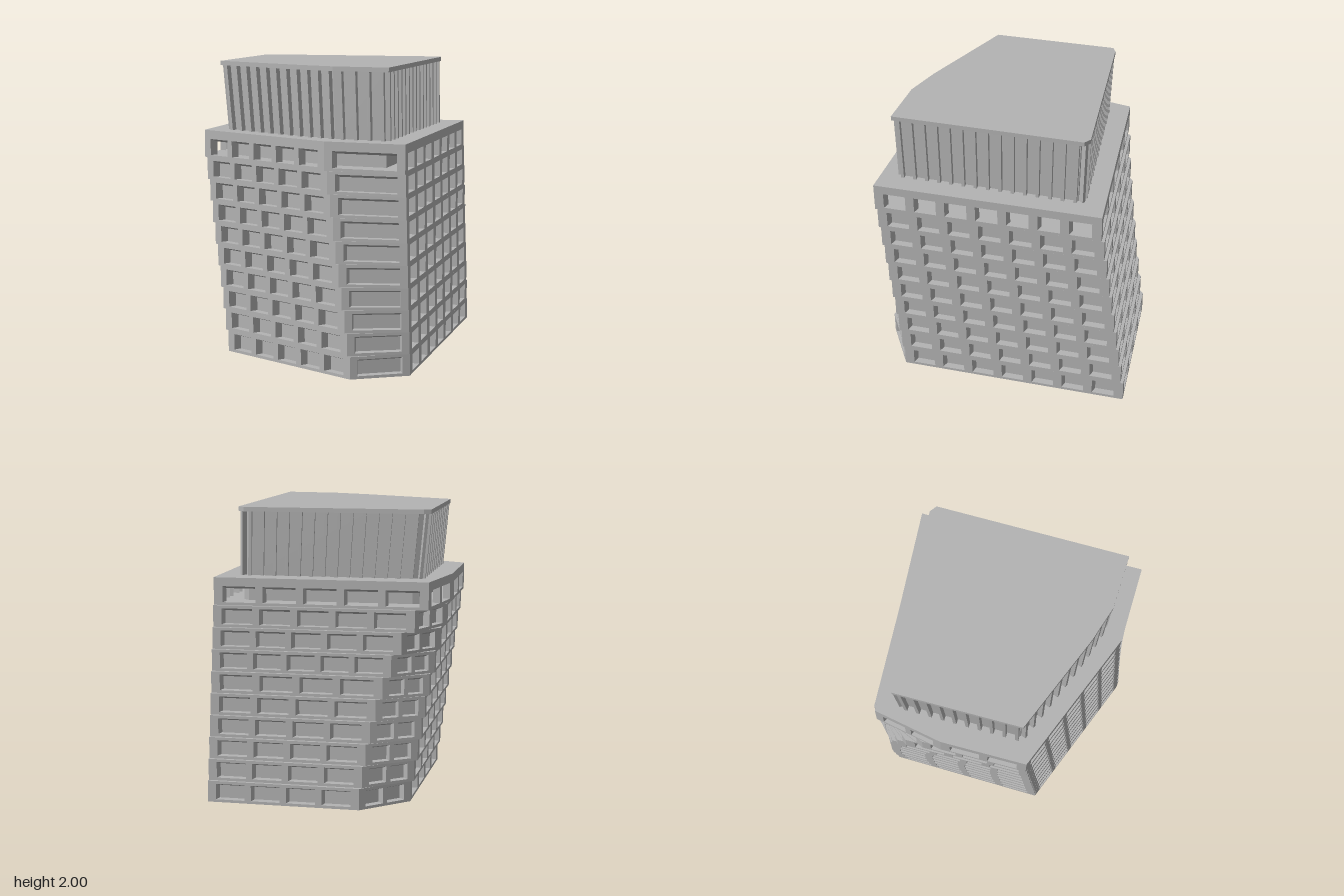
import * as THREE from 'three';
import { mergeGeometries } from 'three/addons/utils/BufferGeometryUtils.js';

const concrete = new THREE.MeshStandardMaterial({ color: 0xb3b3b3, side: THREE.DoubleSide });
concrete.name = 'grey concrete';

const FLOORS = 10, STEP = 0.149, ROOF = 1.53;
const lerp = (a, b, t) => a.map((v, i) => v + (b[i] - v) * t);
const dist = (a, b) => Math.hypot(b[0] - a[0], b[1] - a[1]);

// Paths along which the two left-hand corners slide from ground to top floor
const path = (pts) => new THREE.CatmullRomCurve3(pts.map(([x, z]) => new THREE.Vector3(x, 0, z)));
const sideCorner = path([[-0.82, -0.12], [-0.875, -0.11], [-0.91, -0.07], [-0.92, 0.06], [-0.86, 0.35]]);
const backCorner = path([[-0.64, -0.49], [-0.655, -0.425], [-0.7, -0.35], [-0.79, -0.25], [-0.945, -0.125]]);

// Plan of one storey, [x, z] corners running front, chamfer, right, back, corner, left
function plan(t) {
  const e = sideCorner.getPoint(t), f = backCorner.getPoint(t);
  return [
    lerp([-0.45, 0.9], [-0.65, 0.895], t), lerp([0.64, 0.91], [0.43, 0.91], t),
    lerp([0.89, 0.6], [0.94, 0.73], t), lerp([0.32, -0.915], [0.385, -0.74], t),
    [f.x, f.z], [e.x, e.z],
  ];
}

// Four corners, counter-clockwise from outside
function quad(out, a, b, c, d) {
  for (const p of [a, b, c, a, c, d]) out.push(...p);
}

function toGeometry(out) {
  const g = new THREE.BufferGeometry();
  g.setAttribute('position', new THREE.Float32BufferAttribute(out, 3));
  g.computeVertexNormals();
  return g;
}

// Flat horizontal polygon facing up or down, with optional round holes
function cap(poly, y, up, holes = []) {
  const s = up ? -1 : 1;
  const shape = new THREE.Shape(poly.map(([x, z]) => new THREE.Vector2(x, s * z)));
  for (const [x, z, r] of holes) shape.holes.push(new THREE.Path().absarc(x, s * z, r, 0, Math.PI * 2, true));
  const g = new THREE.ShapeGeometry(shape, 16).rotateX(s * Math.PI / 2).translate(0, y, 0).toNonIndexed();
  g.deleteAttribute('uv');
  return g;
}

// Closed solid between a lower and an upper outline
function loft(lower, y0, upper, y1) {
  const out = [];
  lower.forEach((p, i) => {
    const j = (i + 1) % lower.length, q = lower[j], r = upper[j], s = upper[i];
    quad(out, [p[0], y0, p[1]], [q[0], y0, q[1]], [r[0], y1, r[1]], [s[0], y1, s[1]]);
  });
  return mergeGeometries([toGeometry(out), cap(lower, y0, false), cap(upper, y1, true)]);
}

// Wall from p to q with n recessed windows whose reveals taper at the head and left jamb
function windowWall(p, q, y0, y1, sill, head, n, ratio, open) {
  const out = [], L = dist(p, q), depth = 0.05;
  const d = [(q[0] - p[0]) / L, (q[1] - p[1]) / L];
  const P = (u, y, w = 0) => [p[0] + d[0] * u + d[1] * w, y, p[1] + d[1] * u - d[0] * w];
  const rect = (u0, v0, u1, v1, w = 0) => quad(out, P(u0, v0, w), P(u1, v0, w), P(u1, v1, w), P(u0, v1, w));
  rect(0, y0, L, sill);
  rect(0, head, L, y1);
  const edge = 0.035, pitch = (L - 2 * edge) / n, win = pitch * ratio;
  let last = 0;
  for (let i = 0; i < n; i++) {
    const a = edge + pitch * (i + 0.5) - win / 2, b = a + win;
    const ia = a + 0.015, ib = b - 0.003, ih = head - 0.02;
    rect(last, sill, a, head);
    quad(out, P(a, sill), P(b, sill), P(ib, sill, depth), P(ia, sill, depth));
    quad(out, P(a, head), P(ia, ih, depth), P(ib, ih, depth), P(b, head));
    quad(out, P(a, sill), P(ia, sill, depth), P(ia, ih, depth), P(a, head));
    quad(out, P(b, sill), P(b, head), P(ib, ih, depth), P(ib, sill, depth));
    if (!open) rect(ia, sill, ib, ih, depth);
    last = b;
  }
  rect(last, sill, L, head);
  return toGeometry(out);
}

export function createModel() {
  const model = new THREE.Group();
  model.name = 'building';
  const add = (name, ...geos) => {
    const mesh = new THREE.Mesh(geos.length > 1 ? mergeGeometries(geos) : geos[0], concrete);
    mesh.name = name;
    model.add(mesh);
  };

  // Stacked storeys, the last one an open gallery
  const shafts = [[0.17, 0.005, 0.09], [-0.166, 0.228, 0.09]];
  for (let i = 0; i < FLOORS; i++) {
    const poly = plan(i / (FLOORS - 1)), top = i === FLOORS - 1;
    const y0 = i * STEP, y1 = top ? ROOF : y0 + STEP;
    const parts = poly.map((p, k) => {
      const q = poly[(k + 1) % 6], L = dist(p, q);
      const n = [5, 1, 7, Math.round(L / 0.27), 2, Math.max(2, Math.round(L / 0.27))][k];
      const ratio = [0.8, 0.92, 0.72, 0.82, 0.8, 0.78][k];
      return windowWall(p, q, y0, y1, y0 + 0.019, y0 + 0.129, n, ratio, top);
    });
    parts.push(cap(poly, y0, false, i === 0 ? shafts : []), cap(poly, y1, true));
    if (top) parts.push(cap(poly, y0 + 0.015, true), cap(poly, y0 + 0.135, false));
    add(top ? 'galleryStorey' : `storey${i + 1}`, ...parts);
  }

  // Round shafts rising from the underside
  shafts.forEach(([x, z, r]) => {
    add('shaft', new THREE.CylinderGeometry(r, r, 1.3, 24, 1, true).translate(x, 0.65, z));
  });

  // Crown: leaning recessed walls, fins and a roof slab
  const upper = [[-0.58, 0.8], [0.15, 0.815], [0.41, 0.8], [0.77, 0.68], [0.315, -0.545],
    [0.26, -0.56], [-0.53, -0.19], [-0.85, -0.04], [-0.885, 0]];
  const lower = upper.map(([x, z]) => [x + 0.027 * (0.77 - x), z * 0.985]);
  const inset = (poly) => poly.map(([x, z]) => [-0.05 + (x + 0.05) * 0.945, 0.12 + (z - 0.12) * 0.945]);
  add('galleryCore', loft(inset(lower), (FLOORS - 1) * STEP, inset(lower), ROOF));
  add('crownWall', loft(inset(lower), ROOF, inset(upper), 1.975));
  add('roofSlab', loft(upper, 1.97, upper, 2));

  // Rectangle of one fin at fraction f along an edge
  const finPlan = (p, q, f) => {
    const L = dist(p, q), d = [(q[0] - p[0]) / L, (q[1] - p[1]) / L];
    const at = (s, w) => [p[0] + d[0] * (f * L + s) + d[1] * w, p[1] + d[1] * (f * L + s) - d[0] * w];
    return [at(-0.011, 0.003), at(0.011, 0.003), at(0.011, 0.05), at(-0.011, 0.05)];
  };
  const fins = [];
  upper.forEach((p, i) => {
    const j = (i + 1) % upper.length, n = Math.max(1, Math.round(dist(p, upper[j]) / 0.09));
    for (let k = 0; k < n; k++) {
      const f = (k + 0.5) / n;
      fins.push(loft(finPlan(lower[i], lower[j], f), ROOF, finPlan(p, upper[j], f), 1.972));
    }
  });
  add('crownFins', ...fins);
  return model;
}
